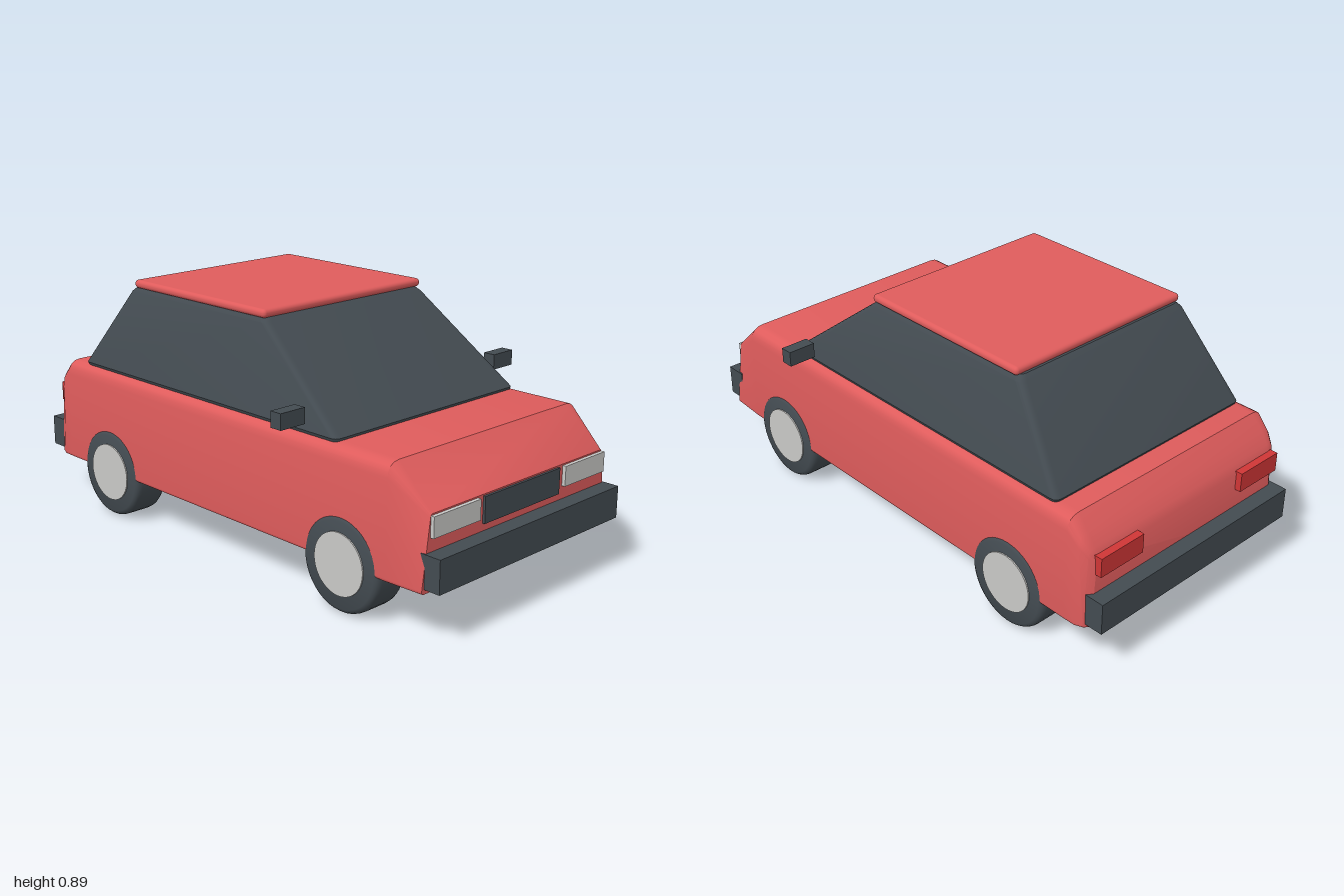
import * as THREE from 'three';
import { toCreasedNormals } from 'three/addons/utils/BufferGeometryUtils.js';
import { RoundedBoxGeometry } from 'three/addons/geometries/RoundedBoxGeometry.js';

const paint = (name, color) => {
  const m = new THREE.MeshStandardMaterial({ color });
  m.name = name;
  return m;
};

// Counter-clockwise outline with every corner [u, v, radius] rounded off
function roundedLoop(corners, steps = 4) {
  const pts = corners.map(([u, v]) => new THREE.Vector2(u, v));
  const n = pts.length;
  return pts.flatMap((p, i) => {
    const toward = (q) => p.clone().add(q.clone().sub(p).setLength(corners[i][2]));
    const curve = new THREE.QuadraticBezierCurve(toward(pts[(i + n - 1) % n]), p, toward(pts[(i + 1) % n]));
    return curve.getPoints(steps);
  });
}

// Closed skin over equal-length rings of [x, y, z] points
function loft(rings) {
  const n = rings[0].length, last = (rings.length - 1) * n, index = [];
  for (let i = 0; i < rings.length - 1; i++) {
    for (let j = 0; j < n; j++) {
      const a = i * n + j, b = i * n + (j + 1) % n;
      index.push(a, b, b + n, a, b + n, a + n);
    }
  }
  for (let j = 1; j < n - 1; j++) index.push(0, j + 1, j, last, last + j, last + j + 1);
  const g = new THREE.BufferGeometry();
  g.setAttribute('position', new THREE.Float32BufferAttribute(rings.flat(2), 3));
  g.setIndex(index);
  return toCreasedNormals(g, 0.5);
}

export function createModel() {
  const car = new THREE.Group();
  car.name = 'car';
  const red = paint('body red', 0xdf5c5c);
  const dark = paint('dark grey', 0x434b51);
  const light = paint('light grey', 0xc9c9c7);
  const tail = paint('tail light red', 0xd03636);

  const add = (name, geometry, material, x = 0, y = 0, z = 0) => {
    const mesh = new THREE.Mesh(geometry, material);
    mesh.name = name;
    mesh.position.set(x, y, z);
    car.add(mesh);
    return mesh;
  };
  // Box given by its limits on each axis
  const box = (name, material, [x0, x1], [y0, y1], [z0, z1]) =>
    add(name, new THREE.BoxGeometry(x1 - x0, y1 - y0, z1 - z0), material,
      (x0 + x1) / 2, (y0 + y1) / 2, (z0 + z1) / 2);

  // Lower body: cross-sections from tail to nose
  // [z, top height, half width at bottom, half width at top, top corner radius]
  const sections = [
    [-0.943, 0.43, 0.44, 0.425, 0.02],
    [-0.928, 0.46, 0.462, 0.448, 0.03],
    [-0.9, 0.5, 0.474, 0.462, 0.04],
    [-0.855, 0.552, 0.475, 0.467, 0.05],
    [0.797, 0.552, 0.475, 0.467, 0.05],
    [0.94, 0.42, 0.467, 0.432, 0.01],
  ];
  add('body', loft(sections.map(([z, top, b, t, r]) =>
    roundedLoop([[-b, 0.17, 0.012], [b, 0.17, 0.012], [t, top, r], [-t, top, r]])
      .map((p) => [p.x, p.y, z]))), red);

  // Glass cabin: level rings [y, half width, front z, rear z]
  const levels = [
    [0.545, 0.436, 0.552, -0.775],
    [0.56, 0.442, 0.553, -0.78],
    [0.855, 0.382, 0.172, -0.562],
    [0.872, 0.368, 0.15, -0.545],
  ];
  add('cabin', loft(levels.map(([y, w, f, b]) =>
    roundedLoop([[-w, -f, 0.025], [w, -f, 0.025], [w, -b, 0.025], [-w, -b, 0.025]])
      .map((p) => [p.x, y, -p.y]))), dark);

  add('roof', new RoundedBoxGeometry(0.764, 0.03, 0.7, 3, 0.014), red, 0, 0.883, -0.19);

  // Bumpers and grille
  box('frontBumper', dark, [-0.455, 0.455], [0.186, 0.299], [0.92, 1]);
  box('rearBumper', dark, [-0.455, 0.455], [0.186, 0.299], [-1, -0.925]);
  box('grille', dark, [-0.19, 0.19], [0.325, 0.415], [0.92, 0.949]);

  // Tyre profile with softened shoulders, turned onto the x axis
  const half = 0.0685;
  const tyreProfile = [[0, -half], [0.147, -half], [0.157, -half + 0.005], [0.163, -half + 0.014],
    [0.165, -half + 0.025], [0.165, half - 0.025], [0.163, half - 0.014], [0.157, half - 0.005],
    [0.147, half], [0, half]].map(([r, y]) => new THREE.Vector2(r, y));
  const tyre = toCreasedNormals(new THREE.LatheGeometry(tyreProfile, 40).rotateZ(Math.PI / 2), 0.7);
  const hub = new THREE.CylinderGeometry(0.107, 0.107, 0.012, 40).rotateZ(Math.PI / 2);

  // Paired parts
  for (const [side, s] of [['left', 1], ['right', -1]]) {
    const span = (a, b) => (s > 0 ? [a, b] : [-b, -a]);
    box(`${side}Headlight`, light, span(0.215, 0.432), [0.345, 0.415], [0.92, 0.953]);
    box(`${side}TailLight`, tail, span(0.24, 0.43), [0.37, 0.44], [-0.965, -0.92]);
    box(`${side}Mirror`, dark, span(0.468, 0.571), [0.593, 0.648], [0.396, 0.442]);
    for (const [end, z] of [['Front', 0.605], ['Rear', -0.602]]) {
      add(`${side}${end}Tyre`, tyre, dark, s * 0.409, 0.168, z);
      add(`${side}${end}Hub`, hub, light, s * 0.476, 0.172, z);
    }
  }
  return car;
}
